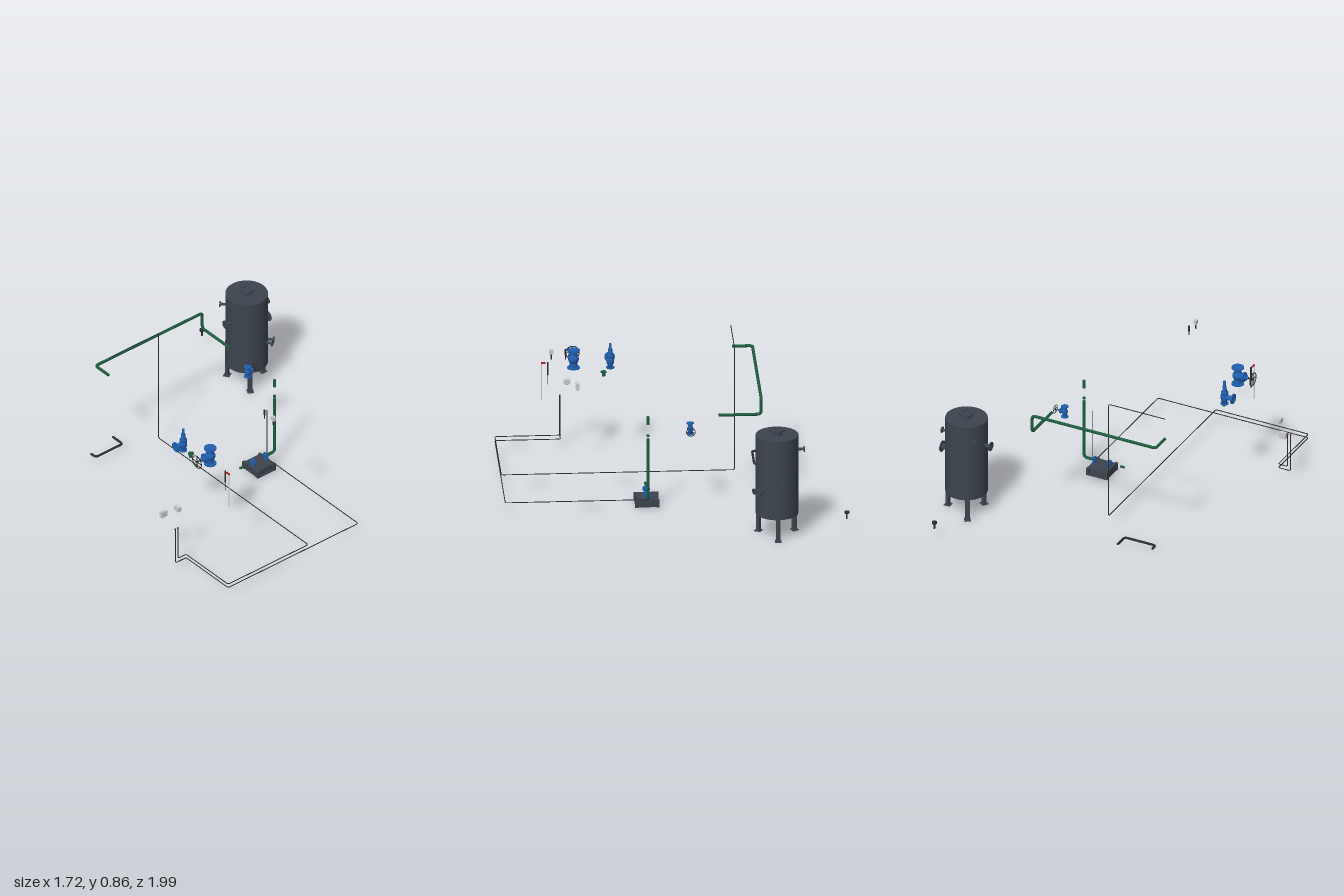
import * as THREE from 'three';

const V = (x, y, z) => new THREE.Vector3(x, y, z);
const mat = (color) => new THREE.MeshStandardMaterial({ color });
const STEEL = mat(0x3c444e), BLUE = mat(0x2060b0), GREEN = mat(0x1e5c3e), DARK = mat(0x2a2c2e), GREY = mat(0xcccccc), RED = mat(0xb02020);

function add(parent, name, geo, material, x = 0, y = 0, z = 0) {
  const m = new THREE.Mesh(geo, material);
  m.name = name;
  m.position.set(x, y, z);
  parent.add(m);
  return m;
}

function group(parent, name, x = 0, y = 0, z = 0) {
  const g = new THREE.Group();
  g.name = name;
  g.position.set(x, y, z);
  parent.add(g);
  return g;
}

// Cylinder (or cone) running from a to b
function rod(parent, name, a, b, r, material, r2 = r, sides = 24) {
  const d = b.clone().sub(a);
  const m = add(parent, name, new THREE.CylinderGeometry(r2, r, d.length(), sides), material);
  m.position.copy(a).add(b).multiplyScalar(0.5);
  m.quaternion.setFromUnitVectors(V(0, 1, 0), d.normalize());
  return m;
}

// Pipe through points, straight runs joined by rounded bends
function pipe(parent, name, pts, r, bend, material, sides = 12) {
  const p = pts.map((a) => V(...a));
  let from = p[0];
  for (let i = 1; i < p.length; i++) {
    const last = i === p.length - 1;
    const dir = p[i].clone().sub(p[i - 1]).normalize();
    const end = last ? p[i] : p[i].clone().addScaledVector(dir, -bend);
    rod(parent, name, from, end, r, material, r, sides);
    if (last) break;
    const next = p[i].clone().addScaledVector(p[i + 1].clone().sub(p[i]).normalize(), bend);
    add(parent, name + 'Elbow', new THREE.TubeGeometry(new THREE.QuadraticBezierCurve3(end, p[i], next), 8, r, sides), material);
    from = next;
  }
}

// Flange ring with a bore and bolt heads, facing +y
function flange(parent, x, y, z, r, t, material) {
  const f = group(parent, 'flange', x, y, z);
  const pts = [[0.5, -t / 2], [1, -t / 2], [1, t / 2], [0.5, t / 2], [0.5, -t / 2]].map(([k, h]) => new THREE.Vector2(k * r, h));
  add(f, 'flangeRing', new THREE.LatheGeometry(pts, 32).toNonIndexed(), material).geometry.computeVertexNormals();
  for (let i = 0; i < 8; i++) {
    const a = (i + 0.5) * Math.PI / 4;
    add(f, 'bolt', new THREE.CylinderGeometry(r * 0.1, r * 0.1, t * 1.5, 6), material, Math.cos(a) * r * 0.8, 0, Math.sin(a) * r * 0.8);
  }
  return f;
}

// Flanged nozzle leaving a vessel sideways; the angle runs from +x towards +z
function nozzle(parent, name, angle, y, r0, r1, pipeR, flangeR) {
  const g = group(parent, name, 0, y, 0);
  const u = V(Math.cos(angle), 0, Math.sin(angle));
  rod(g, 'neck', u.clone().multiplyScalar(r0), u.clone().multiplyScalar(r1 - 0.002), pipeR, STEEL);
  const f = flange(g, u.x * (r1 - 0.003), 0, u.z * (r1 - 0.003), flangeR, 0.006, STEEL);
  f.quaternion.setFromUnitVectors(V(0, 1, 0), u);
}

// Handwheel whose axle runs along x
function handwheel(parent, x, r) {
  const w = group(parent, 'handwheel', x, 0, 0);
  add(w, 'rim', new THREE.TorusGeometry(r, r * 0.07, 8, 32), DARK).rotation.y = Math.PI / 2;
  for (let i = 0; i < 2; i++) {
    const a = i * Math.PI / 2, c = Math.cos(a) * r, s = Math.sin(a) * r;
    rod(w, 'spoke', V(0, -c, -s), V(0, c, s), r * 0.06, DARK, r * 0.06, 8);
  }
  rod(w, 'hub', V(-r * 0.12, 0, 0), V(r * 0.12, 0, 0), r * 0.18, DARK);
}

// Gate valve: vertical flanged body, bonnet and wheel towards +x
function gateValve(parent, name, x, y, z, h, fr, wheelX, wheelR) {
  const g = group(parent, name, x, y, z);
  rod(g, 'body', V(0, -h, 0), V(0, h, 0), fr * 0.6, BLUE);
  add(g, 'bowl', new THREE.SphereGeometry(fr * 0.85, 24, 16), BLUE);
  for (const s of [-1, 1]) flange(g, 0, s * (h - fr * 0.1), 0, fr, fr * 0.2, BLUE);
  rod(g, 'bonnet', V(0, 0, 0), V(fr * 1.5, 0, 0), fr * 0.55, BLUE);
  rod(g, 'bonnetFlange', V(fr * 1.0, 0, 0), V(fr * 1.25, 0, 0), fr * 0.8, BLUE);
  rod(g, 'bonnetNeck', V(fr * 1.5, 0, 0), V(wheelX * 0.72, 0, 0), fr * 0.35, BLUE, fr * 0.2);
  rod(g, 'stem', V(fr, 0, 0), V(wheelX, 0, 0), fr * 0.1, DARK, fr * 0.1, 12);
  handwheel(g, wheelX, wheelR);
  return g;
}

function buildTank(root) {
  const t = group(root, 'tank', 0.69, 0, -0.575);
  add(t, 'shell', new THREE.CylinderGeometry(0.125, 0.125, 0.492, 64), STEEL, 0, 0.382, 0);
  rod(t, 'topNeck', V(0, 0.62, 0), V(0, 0.655, 0), 0.028, STEEL);
  flange(t, 0, 0.656, 0, 0.044, 0.009, STEEL);
  nozzle(t, 'upperNozzle', 0, 0.5, 0.11, 0.163, 0.008, 0.019);
  nozzle(t, 'manhole', 0, 0.388, 0.11, 0.163, 0.017, 0.034);
  nozzle(t, 'leftNozzle', Math.PI, 0.472, 0.11, 0.163, 0.012, 0.028);
  nozzle(t, 'rearNozzle', -Math.PI / 2, 0.533, 0.11, 0.163, 0.008, 0.018);
  nozzle(t, 'cornerNozzle', -Math.PI * 0.755, 0.54, 0.11, 0.16, 0.008, 0.018);
  for (const a of [0.79, 1.05]) nozzle(t, 'lowerNozzle', a, 0.302, 0.11, 0.163, 0.008, 0.018);
  // Three legs against the shell
  for (let i = 0; i < 3; i++) {
    const leg = group(t, 'leg');
    leg.rotation.y = i * Math.PI * 2 / 3;
    add(leg, 'post', new THREE.BoxGeometry(0.02, 0.25, 0.026), STEEL, 0.122, 0.13, 0);
    add(leg, 'foot', new THREE.BoxGeometry(0.038, 0.006, 0.038), STEEL, 0.122, 0.003, 0);
  }
}

function buildPump(root) {
  const p = group(root, 'pump', 0.175, 0, 0.158);
  add(p, 'basin', new THREE.BoxGeometry(0.13, 0.04, 0.125), STEEL, 0, 0.034, 0);
  add(p, 'basePlate', new THREE.BoxGeometry(0.13, 0.006, 0.142), STEEL, 0, 0.011, 0);
  for (const sx of [-1, 1]) {
    for (const sz of [-1, 1]) add(p, 'corner', new THREE.BoxGeometry(0.018, 0.046, 0.02), STEEL, sx * 0.06, 0.031, sz * 0.062);
    // Flanged port on each end
    rod(p, 'port', V(sx * 0.058, 0.08, 0), V(sx * 0.04, 0.08, 0), 0.012, BLUE);
    rod(p, 'portFlange', V(sx * 0.053, 0.08, 0), V(sx * 0.046, 0.08, 0), 0.022, BLUE);
    rod(p, 'portFoot', V(sx * 0.05, 0.05, 0), V(sx * 0.05, 0.08, 0), 0.008, BLUE);
  }
}

function buildSafetyValve(root) {
  const s = group(root, 'safetyValve', -0.545, 0, 0.328);
  const profile = [[0, 0.58], [0.013, 0.58], [0.015, 0.6], [0.023, 0.615], [0.023, 0.64], [0.015, 0.65], [0.022, 0.652], [0.022, 0.66], [0.014, 0.664], [0.012, 0.7], [0.008, 0.708], [0.008, 0.733], [0, 0.735]];
  add(s, 'body', new THREE.LatheGeometry(profile.map(([r, y]) => new THREE.Vector2(r, y)), 32), BLUE);
  flange(s, 0, 0.584, 0, 0.024, 0.007, BLUE);
  rod(s, 'outlet', V(0, 0.628, 0), V(-0.055, 0.628, 0), 0.015, BLUE);
  flange(s, -0.056, 0.628, 0, 0.031, 0.008, BLUE).rotation.z = Math.PI / 2;
}

function buildInstruments(root) {
  // Pair of thermometer rods with a red head
  const t = group(root, 'thermometer', -0.53, 0, 0.71);
  rod(t, 'longRod', V(0, 0.395, 0.021), V(0, 0.63, 0.021), 0.003, GREY, 0.003, 10);
  rod(t, 'shortRod', V(0, 0.55, -0.015), V(0, 0.63, -0.015), 0.005, DARK, 0.005, 10);
  rod(t, 'probe', V(0, 0.49, -0.015), V(0, 0.55, -0.015), 0.002, DARK, 0.002, 10);
  add(t, 'redHandle', new THREE.BoxGeometry(0.008, 0.009, 0.026), RED, 0, 0.626, 0.012);
  // Wall boxes with small cable glands
  for (const [x, y, z, w, h, d] of [[-0.84, 0.355, 0.502, 0.042, 0.04, 0.02], [-0.785, 0.405, 0.567, 0.026, 0.03, 0.036]]) {
    const b = group(root, 'controlBox', x, y, z);
    add(b, 'housing', new THREE.BoxGeometry(w, h, d), GREY);
    add(b, 'cover', new THREE.BoxGeometry(w * 0.8, h * 0.75, d + 0.004), GREY);
    for (const s of [-1, 1]) rod(b, 'gland', V(s * w * 0.25, -h / 2 - 0.004, 0), V(s * w * 0.25, -h / 2, 0), 0.003, DARK, 0.003, 8);
  }
  // Transmitter on a stem
  const g = group(root, 'transmitter', -0.165, 0, 0.697);
  add(g, 'head', new THREE.BoxGeometry(0.018, 0.028, 0.026), GREY, 0, 0.841, 0);
  rod(g, 'stem', V(0, 0.795, 0), V(0, 0.83, 0), 0.005, DARK, 0.005, 12);
  const d = group(root, 'sensor', -0.163, 0, 0.615);
  rod(d, 'sleeve', V(0, 0.82, 0), V(0, 0.855, 0), 0.006, DARK, 0.006, 12);
  rod(d, 'tip', V(0, 0.793, 0), V(0, 0.82, 0), 0.003, DARK, 0.003, 12);
  // Drain plug
  const v = group(root, 'drainPlug', 0.69, 0, -0.985);
  rod(v, 'cap', V(0, 0.122, 0), V(0, 0.133, 0), 0.015, DARK);
  rod(v, 'shank', V(0, 0.086, 0), V(0, 0.125, 0), 0.005, DARK);
}

function buildPipes(root) {
  const R = 0.009;
  pipe(root, 'upperPipe', [[-0.52, 0.71, -0.385], [-0.52, 0.71, -0.505], [0.293, 0.71, -0.505], [0.293, 0.6, -0.505], [0.293, 0.6, -0.255]], R, 0.022, GREEN);
  pipe(root, 'riser', [[0.225, 0.08, 0.158], [0.293, 0.08, 0.158], [0.293, 0.462, 0.158]], R, 0.022, GREEN);
  pipe(root, 'riserStub', [[0.293, 0.55, 0.158], [0.293, 0.6, 0.158]], R, 0.02, GREEN);
  pipe(root, 'riserCoupling', [[0.293, 0.474, 0.158], [0.293, 0.486, 0.158]], R, 0.02, GREEN);
  pipe(root, 'inletStub', [[0.028, 0.08, 0.158], [0.053, 0.08, 0.158]], 0.007, 0.02, GREEN);
  pipe(root, 'pumpStub', [[0.123, 0.08, 0.158], [0.135, 0.08, 0.158]], R, 0.02, GREEN);
  pipe(root, 'drainPipe', [[-0.52, 0.046, -0.545], [-0.52, 0.046, -0.503], [-0.315, 0.046, -0.503], [-0.315, 0.046, -0.592]], 0.007, 0.02, DARK);
  // Flanged green spool
  const s = group(root, 'spool', -0.52, 0, 0.368);
  rod(s, 'tube', V(0, 0.54, 0), V(0, 0.568, 0), 0.01, GREEN);
  flange(s, 0, 0.566, 0, 0.018, 0.006, GREEN);
  // Cable conduits with end caps
  const k = 0.0027;
  pipe(root, 'upperConduit', [[-0.52, 0.84, -0.378], [-0.145, 0.84, -0.378], [-0.145, 0.08, -0.378], [-0.145, 0.08, 0.992], [-0.755, 0.08, 0.992], [-0.755, 0.08, 0.607], [-0.817, 0.08, 0.607], [-0.817, 0.3, 0.607]], k, 0.014, DARK, 8);
  pipe(root, 'lowerConduit', [[0.236, 0.405, 0.158], [0.236, 0.055, 0.158], [0.236, 0.055, 0.992], [-0.755, 0.055, 0.992], [-0.755, 0.055, 0.607], [-0.836, 0.055, 0.607], [-0.836, 0.3, 0.607]], k, 0.014, DARK, 8);
  for (const x of [-0.817, -0.836]) rod(root, 'conduitCap', V(x, 0.295, 0.607), V(x, 0.303, 0.607), 0.0045, DARK, 0.0045, 10);
}

export function createModel() {
  const root = new THREE.Group();
  root.name = 'boilerPlant';
  buildTank(root);
  buildPump(root);
  buildPipes(root);
  gateValve(root, 'smallValve', 0.293, 0.52, -0.09, 0.036, 0.022, 0.062, 0.026);
  gateValve(root, 'largeValve', -0.52, 0.652, 0.545, 0.058, 0.037, 0.1, 0.04).rotation.y = Math.PI;
  buildSafetyValve(root);
  buildInstruments(root);
  return root;
}
